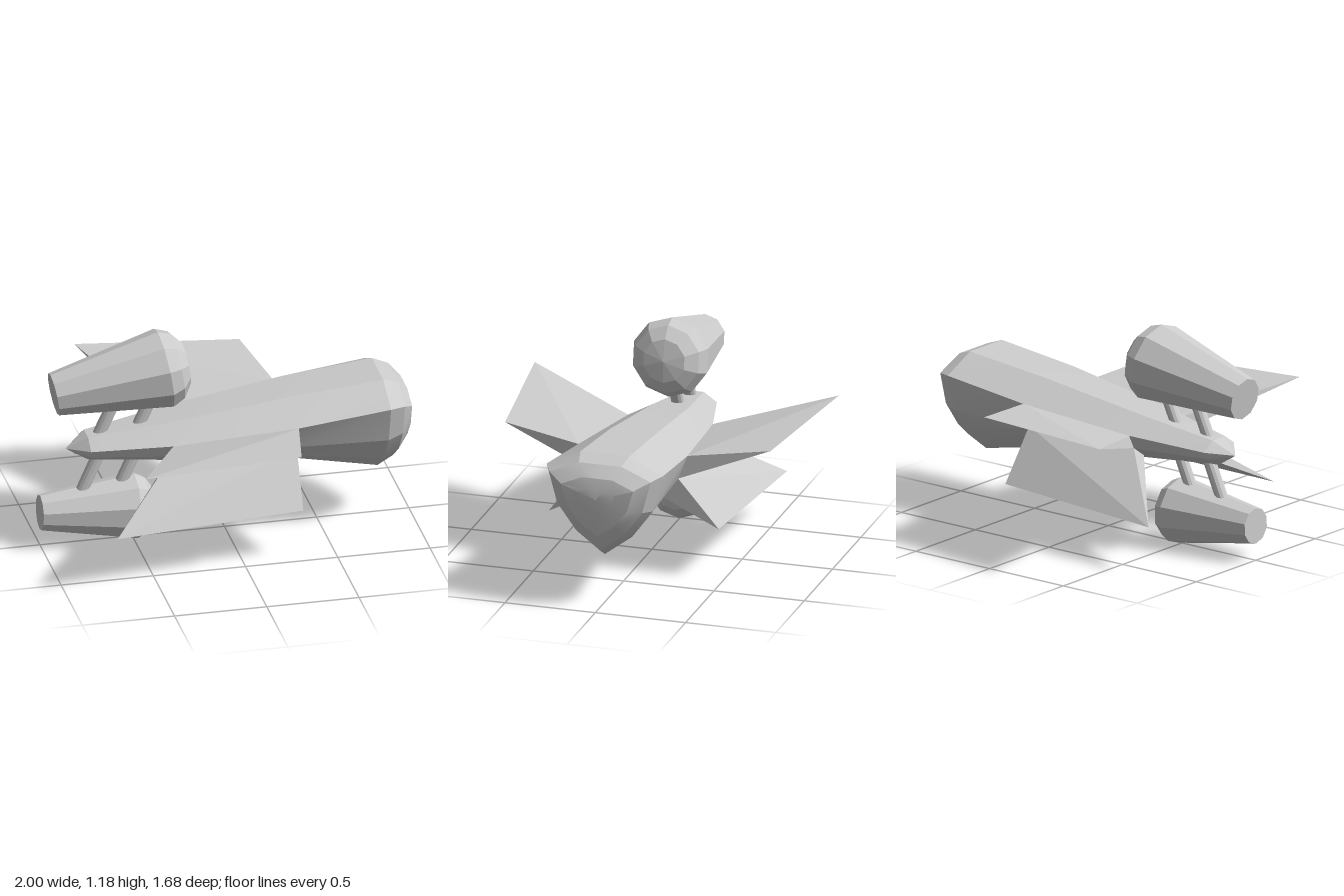
import * as THREE from 'three';
import { toCreasedNormals } from 'three/addons/utils/BufferGeometryUtils.js';
import { ConvexGeometry } from 'three/addons/geometries/ConvexGeometry.js';

const V = (x, y, z) => new THREE.Vector3(x, y, z);
const flat = () => new THREE.MeshStandardMaterial({ color: 0xcccccc, flatShading: true });

function add(group, name, geometry, material = flat()) {
  const mesh = new THREE.Mesh(geometry, material);
  mesh.name = name;
  group.add(mesh);
  return mesh;
}

// Keel-shaped hull section: flat top, shoulder, two flank points, keel
function section([x, top, shoulder, keel, w]) {
  const down = t => shoulder + (keel - shoulder) * t;
  const half = [[0.42 * w, top], [w, shoulder], [0.83 * w, down(0.43)], [0.47 * w, down(0.76)]];
  return [
    V(x, top, 0),
    ...half.map(([z, y]) => V(x, y, z)),
    V(x, keel, 0),
    ...half.reverse().map(([z, y]) => V(x, y, -z)),
  ];
}

// Skin between successive sections running from tail to nose
function loft(rings) {
  const n = rings[0].length, index = [];
  for (let i = 0; i < rings.length - 1; i++) {
    for (let j = 0; j < n; j++) {
      const a = i * n + j, b = i * n + (j + 1) % n;
      index.push(a, b, a + n, b, b + n, a + n);
    }
  }
  const geometry = new THREE.BufferGeometry().setFromPoints(rings.flat());
  geometry.setIndex(index);
  return geometry;
}

// Ten-sided tapered engine with a domed front, from rear centre to front ring centre
function engine(rear, front, rearR, frontR, dome) {
  const axis = front.clone().sub(rear), len = axis.length();
  const profile = [
    [0, 0], [rearR, 0], [frontR, len], [frontR * 0.86, len + dome * 0.5],
    [frontR * 0.55, len + dome * 0.87], [0, len + dome],
  ].map(p => new THREE.Vector2(...p));
  return new THREE.LatheGeometry(profile, 10, Math.PI / 2)
    .rotateZ(Math.atan2(axis.y, axis.x) - Math.PI / 2)
    .translate(rear.x, rear.y, rear.z);
}

// Round strut between two points
function strut(from, to) {
  const axis = to.clone().sub(from), mid = from.clone().add(to).multiplyScalar(0.5);
  return new THREE.CylinderGeometry(0.034, 0.034, axis.length(), 12)
    .rotateZ(Math.atan2(axis.y, axis.x) - Math.PI / 2)
    .translate(mid.x, mid.y, mid.z);
}

export function createModel() {
  const model = new THREE.Group();
  model.name = 'spacecraft';

  // Hull: x, top, shoulder, keel, half width
  const stations = [
    [-0.86, 0.556, 0.555, 0.554, 0.002],
    [-0.75, 0.63, 0.58, 0.485, 0.125],
    [-0.33, 0.695, 0.62, 0.44, 0.235],
    [0.335, 0.79, 0.685, 0.375, 0.302],
    [0.83, 0.84, 0.75, 0.275, 0.322],
    [0.915, 0.81, 0.74, 0.325, 0.28],
    [0.972, 0.75, 0.7, 0.425, 0.2],
    [0.99, 0.69, 0.67, 0.55, 0.1],
    [0.995, 0.641, 0.64, 0.639, 0.002],
  ];
  const rings = stations.map(section);
  add(model, 'hull', toCreasedNormals(loft(rings), 0.3),
    new THREE.MeshStandardMaterial({ color: 0xcccccc }));

  // Wings: wedges growing from the hull flanks to a thin tip edge
  const [rootRear, rootFront] = [rings[2], rings[3]];
  const wings = [
    ['upperWing', 2, V(0.25, 0.73, 0.735), V(-0.62, 0.745, 0.842)],
    ['lowerWing', 3, V(0.32, 0.285, 0.47), V(-0.7, 0.255, 0.53)],
  ];
  for (const [name, k, tipFront, tipRear] of wings) {
    const points = [rootRear[k], rootRear[k + 1], rootFront[k], rootFront[k + 1], tipFront, tipRear];
    for (const s of [1, -1]) {
      add(model, name + (s > 0 ? 'Left' : 'Right'),
        new ConvexGeometry(points.map(p => V(p.x, p.y, p.z * s))));
    }
  }

  // Engines above and below the tail
  add(model, 'upperEngine', engine(V(-0.925, 0.88, 0), V(-0.328, 0.972, 0), 0.116, 0.215, 0.135));
  add(model, 'lowerEngine', engine(V(-1, 0.195, 0), V(-0.49, 0.185, 0), 0.097, 0.18, 0.11));

  // Paired slanted struts to each engine
  for (const dx of [0, 0.2]) {
    add(model, 'upperStrut', strut(V(-0.7 + dx, 0.58, 0), V(-0.58 + dx, 0.84, 0)));
    add(model, 'lowerStrut', strut(V(-0.8 + dx, 0.24, 0), V(-0.67 + dx, 0.53, 0)));
  }
  return model;
}
